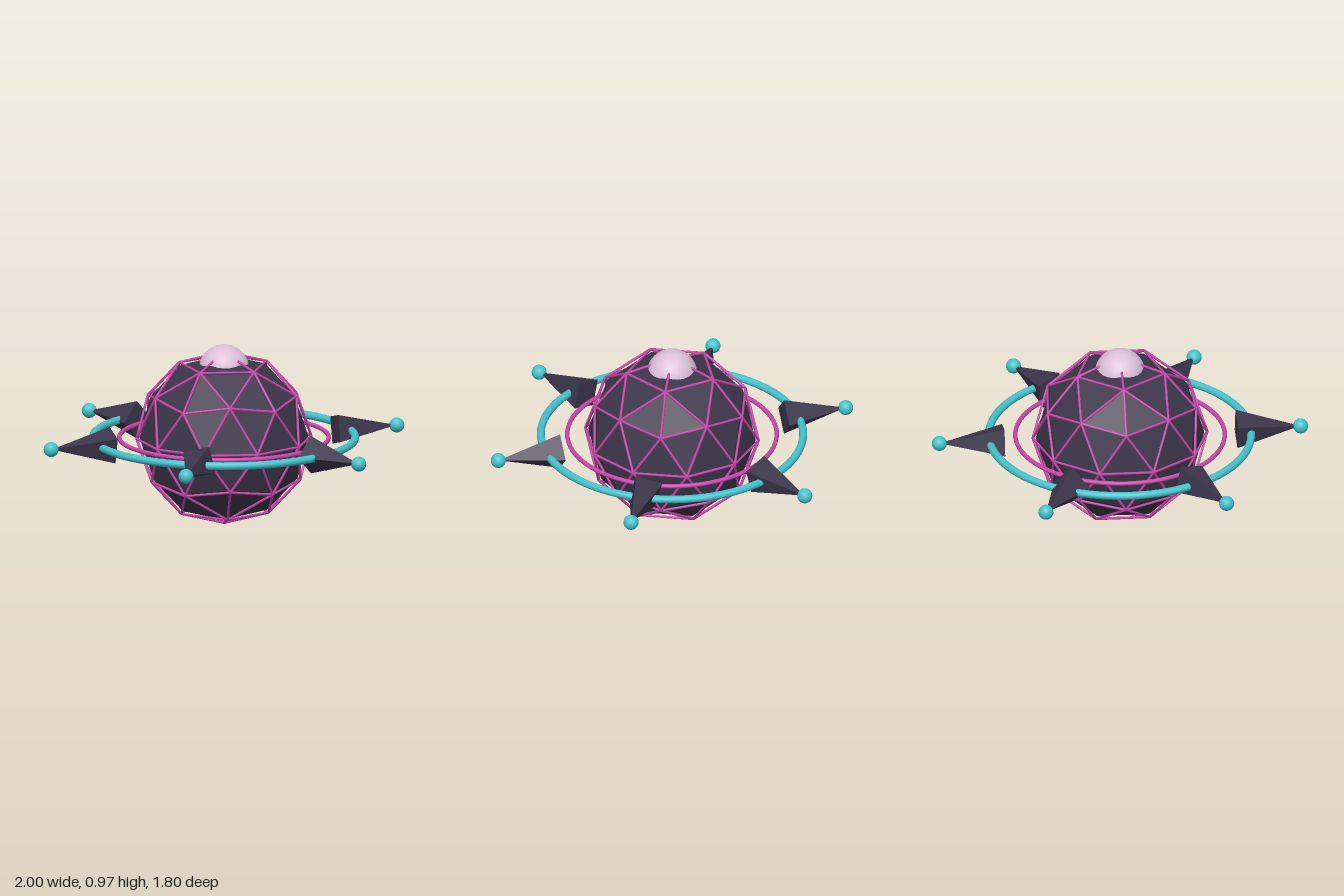
import * as THREE from 'three';
import { mergeGeometries } from 'three/addons/utils/BufferGeometryUtils.js';

const UP = new THREE.Vector3(0, 1, 0);
const CENTRE_Y = 0.472;

function material(name, color) {
  const m = new THREE.MeshStandardMaterial({ color });
  m.name = name;
  return m;
}

// Faceted icosphere standing on one of its five-sided corners
function icosphere(radius) {
  const g = new THREE.IcosahedronGeometry(radius, 1);
  g.rotateX(-Math.atan2((1 + Math.sqrt(5)) / 2, 1));
  g.rotateY(0.25);
  g.computeVertexNormals();
  return g;
}

// One thin rod along every edge of a triangle geometry
function edgeRods(geometry, radius) {
  const pos = geometry.attributes.position;
  const key = (v) => v.toArray().map((n) => Math.round(n * 1000)).join(',');
  const seen = new Set();
  const rods = [];
  for (let i = 0; i < pos.count; i += 3) {
    for (let k = 0; k < 3; k++) {
      const a = new THREE.Vector3().fromBufferAttribute(pos, i + k);
      const b = new THREE.Vector3().fromBufferAttribute(pos, i + ((k + 1) % 3));
      const id = [key(a), key(b)].sort().join('|');
      if (seen.has(id)) continue;
      seen.add(id);
      const dir = b.clone().sub(a);
      const rod = new THREE.CylinderGeometry(radius, radius, dir.length(), 6);
      rod.applyQuaternion(new THREE.Quaternion().setFromUnitVectors(UP, dir.normalize()));
      rod.translate(...a.add(b).multiplyScalar(0.5).toArray());
      rods.push(rod);
    }
  }
  return mergeGeometries(rods);
}

export function createModel() {
  const model = new THREE.Group();
  const dark = material('dark violet', 0x3c354b);
  const magenta = material('magenta', 0xc648a8);
  const teal = material('teal', 0x46c3cd);
  const pale = material('pale pink', 0xdcc0d8);

  function add(parent, name, geometry, mat, x = 0, y = 0, z = 0) {
    const mesh = new THREE.Mesh(geometry, mat);
    mesh.name = name;
    mesh.position.set(x, y, z);
    parent.add(mesh);
    return mesh;
  }

  // Faceted body with a lattice floating just above it
  add(model, 'body', icosphere(0.448), dark, 0, CENTRE_Y, 0);
  add(model, 'lattice', edgeRods(icosphere(0.464), 0.007), magenta, 0, CENTRE_Y, 0);

  // Dome sunk into the top
  add(model, 'dome', new THREE.SphereGeometry(0.135, 24, 16), pale, 0, 0.84, 0);

  // Two flat rings around the middle
  const ring = (r, tube) => new THREE.TorusGeometry(r, tube, 10, 80).rotateX(Math.PI / 2);
  add(model, 'innerRing', ring(0.555, 0.012), magenta, 0, CENTRE_Y, 0);
  add(model, 'outerRing', ring(0.695, 0.021), teal, 0, CENTRE_Y, 0);

  // Six four-sided spikes with ball tips
  const spikes = new THREE.Group();
  spikes.name = 'spikes';
  spikes.position.y = CENTRE_Y;
  spikes.rotation.y = 0.063;
  const cone = new THREE.ConeGeometry(0.102, 0.34, 4).toNonIndexed();
  cone.computeVertexNormals();
  const ball = new THREE.SphereGeometry(0.04, 20, 14);
  for (let i = 0; i < 6; i++) {
    const a = (i * Math.PI) / 3;
    const dir = new THREE.Vector3(Math.cos(a), 0, Math.sin(a));
    const spike = add(spikes, 'spike', cone, dark, dir.x * 0.79, 0, dir.z * 0.79);
    spike.quaternion.setFromUnitVectors(UP, dir);
    add(spikes, 'spikeTip', ball, teal, dir.x * 0.962, 0, dir.z * 0.962);
  }
  model.add(spikes);

  return model;
}
